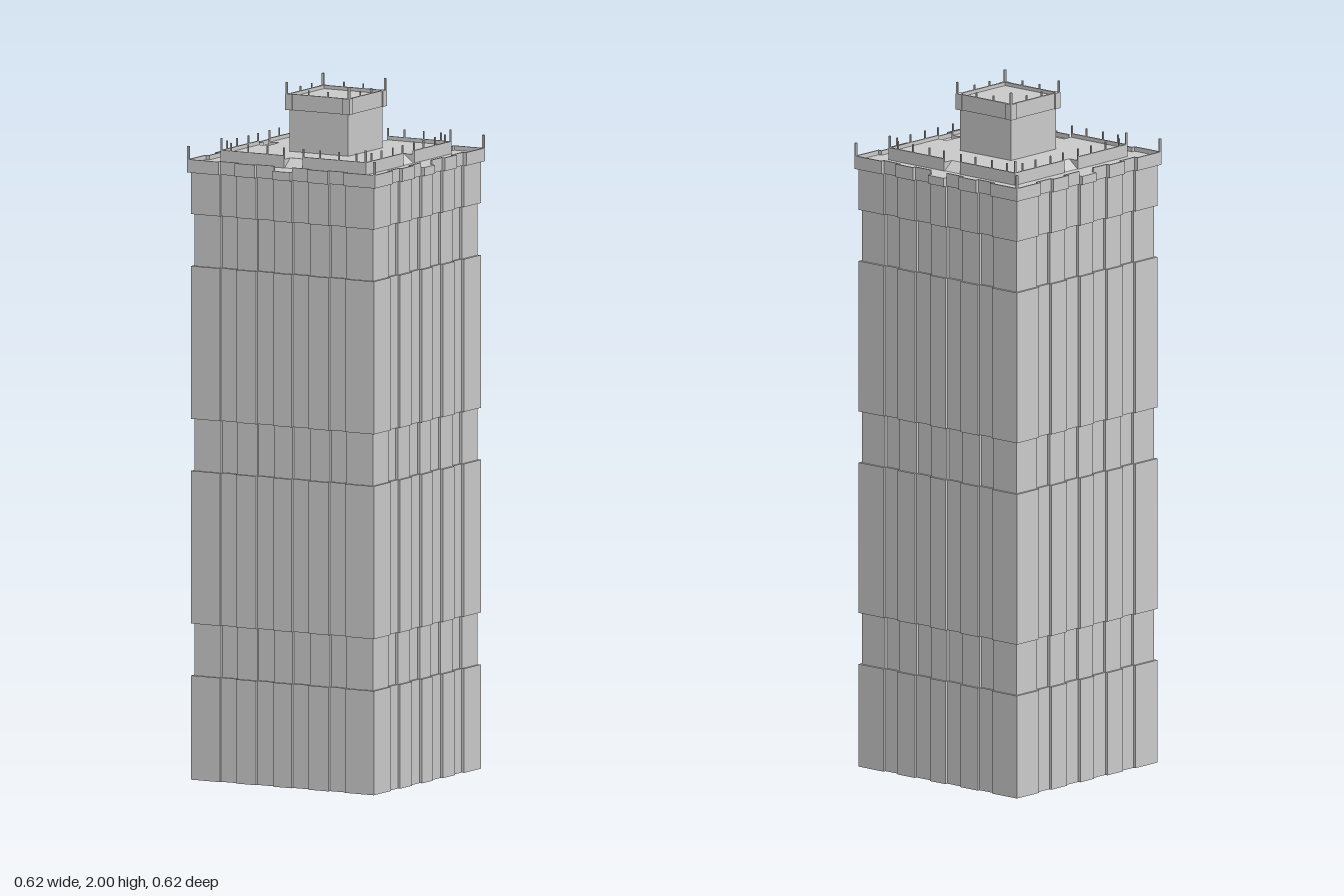
import * as THREE from 'three';

const material = new THREE.MeshStandardMaterial({ color: 0xcccccc, flatShading: true });

// Vertical grooves shared by every storey block: start, end
const GROOVES = [[-0.207, -0.153], [-0.087, -0.03], [0.03, 0.087], [0.153, 0.207]];
const SIDES = [0, 1, 2, 3];

// Square plan of a given half width with rectangular notches cut in each side
function plan(half, notches = [], depth = 0) {
  const pts = [];
  for (const k of SIDES) {
    const side = [[-half, -half]];
    for (const [a, b] of notches) {
      side.push([a, -half], [a, -half + depth], [b, -half + depth], [b, -half]);
    }
    const c = [1, 0, -1, 0][k], s = [0, 1, 0, -1][k];
    for (const [x, y] of side) pts.push(new THREE.Vector2(c * x - s * y, s * x + c * y));
  }
  return new THREE.Shape(pts);
}

// Upright prism of a plan between two heights
function prism(shape, y0, y1) {
  const g = new THREE.ExtrudeGeometry(shape, { depth: y1 - y0, bevelEnabled: false });
  g.rotateX(-Math.PI / 2);
  g.translate(0, y0, 0);
  return g;
}

// Corner wall: an outer half-profile mirrored on the diagonal, then closed by the inner one
function cornerWall(outer, inner) {
  const mirror = (p) => p.slice(0, -1).reverse().map(([x, y]) => [y, x]);
  const loop = [...outer, ...mirror(outer), ...[...inner, ...mirror(inner)].reverse()];
  return new THREE.Shape(loop.map(([x, y]) => new THREE.Vector2(x, y)));
}

export function createModel() {
  const model = new THREE.Group();
  model.name = 'tower';

  function add(name, geometry, angle = 0, parent = model) {
    const m = new THREE.Mesh(geometry, material);
    m.name = name;
    m.rotation.y = angle;
    parent.add(m);
    return m;
  }
  function post(name, x, z, y0, y1, w) {
    const g = new THREE.BoxGeometry(w, y1 - y0, w);
    g.translate(x, (y0 + y1) / 2, z);
    add(name, g);
  }

  // Shaft: broad blocks alternating with slightly recessed bands
  const levels = [0, 0.3, 0.45, 0.89, 1.04, 1.48, 1.63, 1.75];
  for (let i = 0; i < levels.length - 1; i++) {
    const band = i % 2 === 1;
    add(band ? 'recessedBand' : 'shaftBlock',
      prism(plan(band ? 0.295 : 0.302, GROOVES, 0.008), levels[i], levels[i + 1]));
  }

  // Cornice and main roof
  const H = 0.31, D = 0.011, T = 0.005, ROOF = 1.775;
  add('cornice', prism(plan(H, GROOVES, D), 1.75, ROOF));

  // Outer parapet, open in the middle of each side
  const outer = [[0.03, H - D], [0.087, H - D], [0.087, H], [0.153, H], [0.153, H - D],
    [0.207, H - D], [0.207, H], [H, H]];
  const inner = [[0.03, H - D - T], [0.087 + T, H - D - T], [0.087 + T, H - T], [0.153 - T, H - T],
    [0.153 - T, H - D - T], [0.207 + T, H - D - T], [0.207 + T, H - T], [H - T, H - T]];
  const parapet = prism(cornerWall(outer, inner), ROOF, 1.788);

  // Raised roof deck with a ramp let into each side
  const R = 0.241, DECK = 1.8;
  add('roofDeck', prism(plan(R, [[-0.03, 0.03]], 0.034), ROOF, DECK));
  const deckWall = prism(cornerWall([[0.03, R], [R, R]], [[0.03, R - T], [R - T, R - T]]), DECK, 1.811);
  const wedge = new THREE.ExtrudeGeometry(new THREE.Shape([
    new THREE.Vector2(R - 0.034, ROOF), new THREE.Vector2(R - 0.003, ROOF),
    new THREE.Vector2(R - 0.034, DECK)]), { depth: 0.06, bevelEnabled: false });
  wedge.translate(0, 0, -0.03);
  for (const k of SIDES) {
    const a = k * Math.PI / 2;
    add('parapet', parapet, a);
    add('deckParapet', deckWall, a);
    add('ramp', wedge, a);
  }

  // Penthouse with a wider cap, projecting corners and a low rim
  add('penthouse', prism(plan(0.097), DECK, 1.92));
  const capPlan = () => plan(0.106, [[-0.084, 0.084]], 0.004);
  add('penthouseCap', prism(capPlan(), 1.92, 1.956));
  const rim = capPlan();
  rim.holes.push(new THREE.Path(plan(0.096).getPoints().reverse()));
  add('penthouseRim', prism(rim, 1.956, 1.966));

  // Corner posts on all three tiers
  for (const sx of [-1, 1]) {
    for (const sz of [-1, 1]) {
      post('cornerPost', sx * 0.307, sz * 0.307, 1.75, 1.826, 0.006);
      post('deckCornerPost', sx * 0.2385, sz * 0.2385, DECK, 1.845, 0.005);
      post('penthouseCornerPost', sx * 0.1025, sz * 0.1025, 1.95, 2, 0.006);
    }
  }

  // Slim railing posts along the deck and penthouse edges
  const railing = (name, places, edge, y0, y1) => {
    for (const p of places) {
      for (const s of [-1, 1]) {
        post(name, p, s * edge, y0, y1, 0.004);
        post(name, s * edge, p, y0, y1, 0.004);
      }
    }
  };
  railing('deckPost', [-0.207, -0.15, -0.087, -0.032, 0.032, 0.087, 0.15, 0.207], 0.2385, DECK, 1.834);
  railing('penthousePost', [-0.032, 0.032], 0.099, 1.95, 1.98);

  return model;
}
